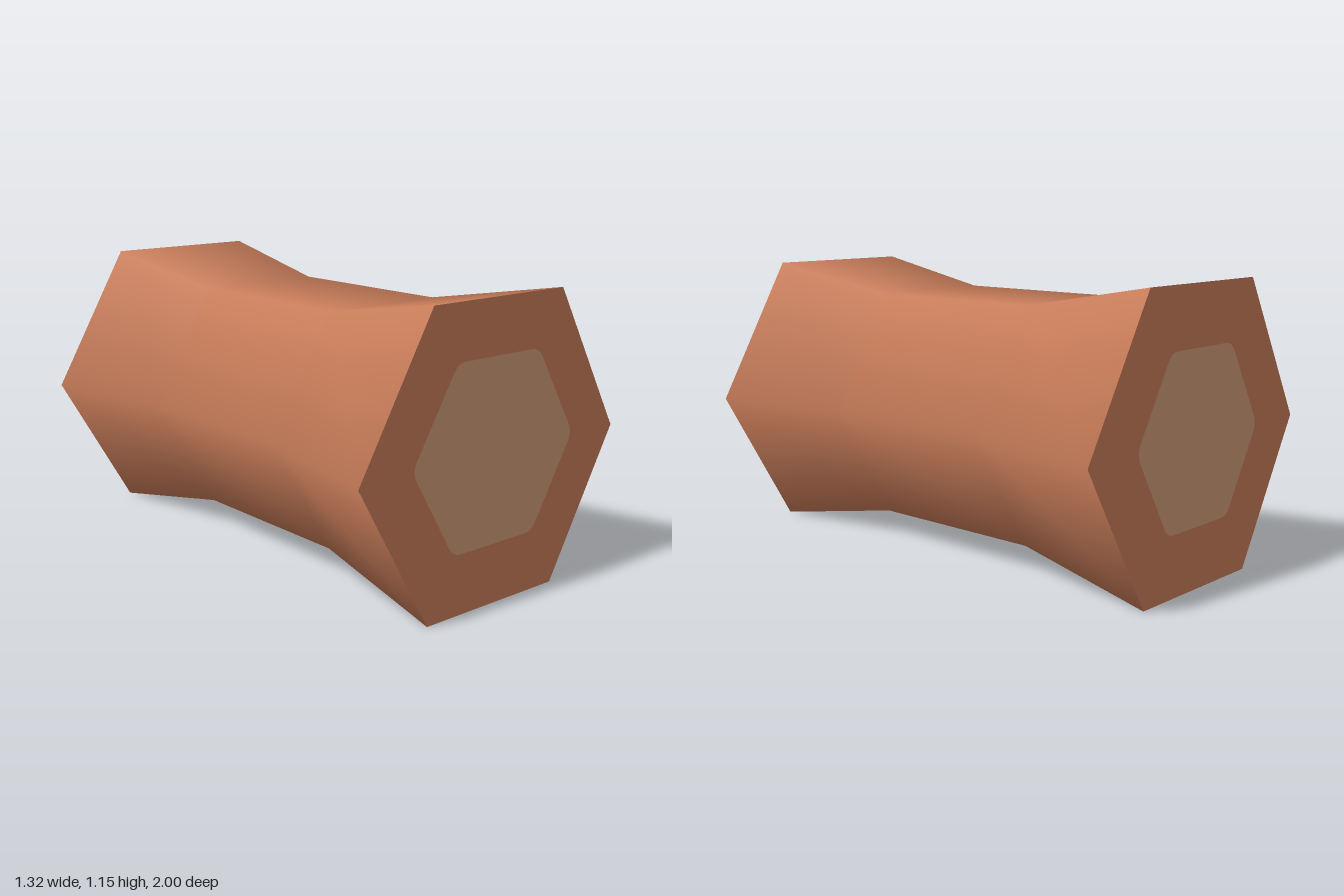
import * as THREE from 'three';

const CENTER_Y = 0.573;
const END_R = 0.662, WAIST_R = 0.541, WAIST_Z = 0.39, END_Z = 0.998;

// Flat hexagon with softened corners, half width w and half height h
function roundedHexagon(w, h, corner) {
  const pts = [[w, 0], [w / 2, h], [-w / 2, h], [-w, 0], [-w / 2, -h], [w / 2, -h]]
    .map(([x, y]) => new THREE.Vector2(x, y));
  const shape = new THREE.Shape();
  pts.forEach((p, i) => {
    const prev = pts[(i + 5) % 6], next = pts[(i + 1) % 6];
    const a = p.clone().lerp(prev, corner / p.distanceTo(prev));
    const b = p.clone().lerp(next, corner / p.distanceTo(next));
    if (i === 0) shape.moveTo(a.x, a.y);
    else shape.lineTo(a.x, a.y);
    shape.quadraticCurveTo(p.x, p.y, b.x, b.y);
  });
  shape.closePath();
  return new THREE.ShapeGeometry(shape, 6);
}

export function createModel() {
  const group = new THREE.Group();
  const clay = new THREE.MeshStandardMaterial({ color: 0xc67b58 });
  clay.name = 'terracotta';
  const sand = new THREE.MeshStandardMaterial({ color: 0xcc9874 });
  sand.name = 'pale sand';

  const add = (name, geometry, material, y, z) => {
    const mesh = new THREE.Mesh(geometry, material);
    mesh.name = name;
    mesh.position.set(0, y, z);
    group.add(mesh);
    return mesh;
  };

  // Six-sided tube section running along z, smooth around its sides
  const section = (name, frontR, backR, z0, z1) => {
    const g = new THREE.CylinderGeometry(frontR, backR, z1 - z0, 6, 1, true, Math.PI / 2);
    g.rotateX(Math.PI / 2);
    add(name, g, clay, CENTER_Y, (z0 + z1) / 2);
  };
  section('waist', WAIST_R, WAIST_R, -WAIST_Z, WAIST_Z);
  section('frontFlare', END_R, WAIST_R, WAIST_Z, END_Z);
  section('backFlare', WAIST_R, END_R, -END_Z, -WAIST_Z);

  // Flat ends, each with a pale inset panel
  const ends = [
    { side: 'front', dir: 1, w: 0.42, h: 0.351, y: 0.585 },
    { side: 'back', dir: -1, w: 0.392, h: 0.335, y: 0.577 },
  ];
  for (const { side, dir, w, h, y } of ends) {
    const turn = dir > 0 ? 0 : Math.PI;
    add(side + 'End', new THREE.CircleGeometry(END_R, 6), clay, CENTER_Y, dir * END_Z).rotation.y = turn;
    add(side + 'Panel', roundedHexagon(w, h, 0.04), sand, y, dir).rotation.y = turn;
  }
  return group;
}
